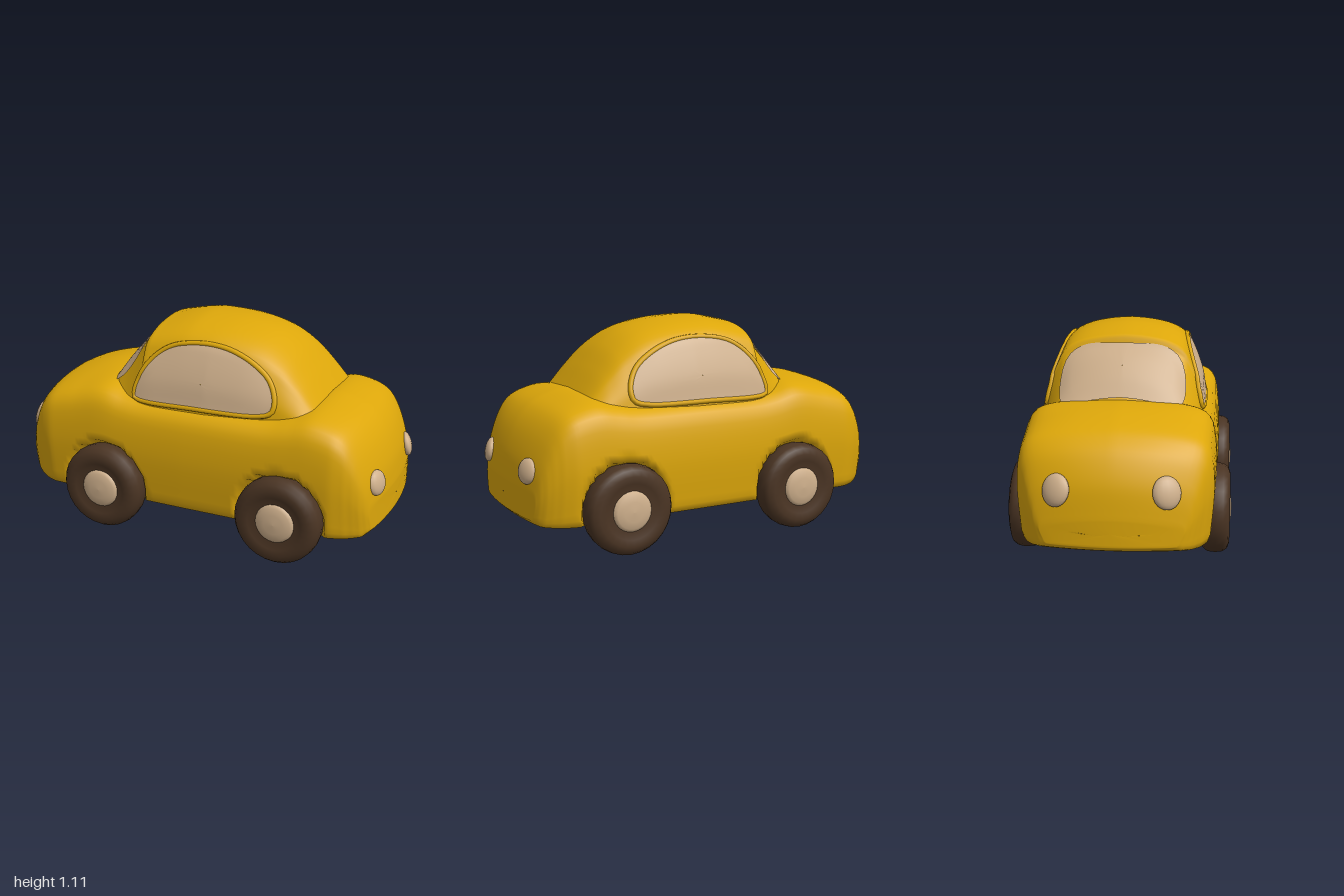
import * as THREE from 'three';

const paint = new THREE.MeshStandardMaterial({ color: 0xdda70a });
paint.name = 'yellow paint';
const glass = new THREE.MeshStandardMaterial({ color: 0xcfb08c, side: THREE.DoubleSide });
glass.name = 'pale glass';
const rubber = new THREE.MeshStandardMaterial({ color: 0x4a3423 });
rubber.name = 'brown rubber';

const WHEELS = [-0.44, 0.54];
const WHEEL_R = 0.226;
const { smoothstep, clamp } = THREE.MathUtils;

const spline = (pts, n) =>
  new THREE.SplineCurve(pts.map(p => new THREE.Vector2(...p))).getSpacedPoints(n).map(p => [p.x, p.y]);

// Piecewise interpolation of column c against column k
function lerp(table, v, k = 0, c = 1) {
  const up = table[table.length - 1][k] > table[0][k];
  const t = up ? table : [...table].reverse();
  if (v <= t[0][k]) return t[0][c];
  for (let i = 1; i < t.length; i++) {
    if (v <= t[i][k]) {
      const a = t[i - 1], b = t[i];
      return a[c] + (b[c] - a[c]) * (v - a[k]) / (b[k] - a[k] || 1);
    }
  }
  return t[t.length - 1][c];
}

// Smooth skin over a list of equally sized closed rings
function loft(rings) {
  const n = rings[0].length, index = [];
  for (let i = 0; i < rings.length - 1; i++) {
    for (let j = 0; j < n; j++) {
      const a = i * n + j, b = i * n + (j + 1) % n;
      index.push(a, a + n, b, b, a + n, b + n);
    }
  }
  const geo = new THREE.BufferGeometry();
  geo.setAttribute('position', new THREE.Float32BufferAttribute(rings.flat(2), 3));
  geo.setIndex(index);
  geo.computeVertexNormals();
  return geo;
}

// Half section, bottom to top, mirrored to the other side
const mirrorSection = half => [
  ...half, ...[...half].reverse().filter(p => Math.abs(p[0]) > 1e-4).map(([g, f]) => [-g, f]),
];

// Lower body tables: top line, underside, half width, half section (width, height)
const bodyTop = spline([[-1, 0.34], [-0.98, 0.49], [-0.93, 0.61], [-0.87, 0.677], [-0.79, 0.725], [-0.62, 0.77],
  [-0.46, 0.778], [-0.34, 0.745], [-0.2, 0.728], [0.1, 0.728], [0.42, 0.728], [0.55, 0.745], [0.66, 0.763],
  [0.77, 0.738], [0.86, 0.69], [0.93, 0.6], [0.98, 0.47], [1, 0.34]], 110);
const bodyBottom = [[-1, 0.205], [-0.985, 0.185], [-0.95, 0.17], [-0.9, 0.162], [0.4, 0.162], [0.9, 0.152], [0.97, 0.157], [1, 0.185]];
const bodyWidth = [[-1, 0.345], [-0.99, 0.38], [-0.97, 0.41], [-0.94, 0.432], [-0.88, 0.455], [-0.78, 0.47],
  [-0.5, 0.478], [0, 0.484], [0.5, 0.484], [0.8, 0.476], [0.89, 0.463], [0.94, 0.445], [0.97, 0.425],
  [0.99, 0.395], [1, 0.36]];
const bodyHalf = spline([[0, 0], [0.5, 0], [0.88, 0], [0.955, 0.03], [0.975, 0.15], [0.995, 0.35], [1, 0.52],
  [0.98, 0.72], [0.93, 0.86], [0.8, 0.938], [0.5, 0.98], [0, 1]], 44);

function bodyGeometry() {
  const section = mirrorSection(bodyHalf);
  const ring = (x, top, k = 1) => {
    const lo = lerp(bodyBottom, x), w = lerp(bodyWidth, x), mid = (lo + top) / 2;
    const end = smoothstep(Math.abs(x), 0.75, 1);
    const dome = 0.035 * smoothstep(-x, 0.45, 0.65);
    return section.map(([g, f]) => {
      let z = g * w * k * (1 - 0.08 * end * (1 - f));
      const y = mid + (lo + f * (top - lo) - mid) * k - dome * g * g * f * f;
      // Nose and tail bow backward toward the sides
      const bow = (x < 0 ? 0.065 : 0.05) * end * (z / 0.42) ** 2;
      // Wheel wells press the sides inward
      for (const wx of WHEELS) {
        const s = 1 - smoothstep(Math.hypot(x - wx, y - WHEEL_R), 0.208, 0.238);
        z += (Math.sign(z) * Math.min(Math.abs(z), 0.42) - z) * s;
      }
      return [x - Math.sign(x) * bow, y, z];
    });
  };
  const first = bodyTop[0], last = bodyTop[bodyTop.length - 1];
  const caps = [0.01, 0.3, 0.6, 0.85];
  return loft([
    ...caps.map(k => ring(...first, k)),
    ...bodyTop.map(p => ring(...p)),
    ...caps.reverse().map(k => ring(...last, k)),
  ]);
}

// Cabin tables: roof line, width factor, half section (half width, height)
const BASE = 0.6;
const roofLine = spline([[-0.57, 0.67], [-0.49, 0.765], [-0.42, 0.87], [-0.35, 0.95], [-0.275, 1.02], [-0.264, 1.06],
  [-0.22, 1.073], [-0.1, 1.098], [0, 1.105], [0.18, 1.092], [0.34, 1.05], [0.46, 0.975], [0.55, 0.88],
  [0.62, 0.79], [0.7, 0.68]], 90);
const cabinWidth = [[-0.57, 0.95], [-0.35, 0.98], [-0.2, 1], [0.1, 1], [0.3, 0.965], [0.45, 0.925], [0.6, 0.905], [0.7, 0.89]];
const cabinHalf = spline([[0.425, 0], [0.404, 0.23], [0.384, 0.46], [0.34, 0.7], [0.296, 0.85], [0.21, 0.94],
  [0.1, 0.985], [0, 1]], 28);

// The windscreen wraps down toward its sides
const droop = (x, z) => 0.045 * Math.sin(Math.PI * clamp((x + 0.54) / 0.26, 0, 1)) * (z / 0.3) ** 2;

const cabinGeometry = () => {
  const section = mirrorSection(cabinHalf);
  return loft(roofLine.map(([x, top]) => section.map(([g, f]) => {
    const z = g * lerp(cabinWidth, x);
    return [x, BASE + f * (top - BASE) - droop(x, z), z];
  })));
};

// Points on the cabin skin, seen from the side or from above
function cabinSide(x, y, lift) {
  const f = (y - BASE) / (lerp(roofLine, x) - BASE);
  return lerp(cabinHalf, f, 1, 0) * lerp(cabinWidth, x) + lift;
}
function cabinTop(x, z, lift) {
  const f = lerp(cabinHalf, Math.abs(z) / lerp(cabinWidth, x), 0, 1);
  return BASE + f * (lerp(roofLine, x) - BASE) - droop(x, z) + lift;
}

const closedOutline = (pts, n) => new THREE.CatmullRomCurve3(
  pts.map(([a, b]) => new THREE.Vector3(a, b, 0)), true, 'centripetal').getSpacedPoints(n).slice(0, n);

// Thin pane: growing copies of an outline laid onto a curved surface
function pane(outline, place) {
  const c = outline.reduce((s, p) => s.add(p), new THREE.Vector3()).divideScalar(outline.length);
  const scales = [0.005, 0.1, 0.2, 0.3, 0.4, 0.5, 0.6, 0.7, 0.8, 0.9, 1];
  return loft(scales.map(k => outline.map(o => {
    const p = c.clone().lerp(o, k);
    return place(p.x, p.y).toArray();
  })));
}

const sideOutline = closedOutline([[-0.295, 0.715], [-0.275, 0.82], [-0.21, 0.92], [-0.11, 0.99], [0.05, 1.018],
  [0.2, 1.003], [0.33, 0.95], [0.42, 0.875], [0.458, 0.78], [0.445, 0.73], [0.38, 0.71], [0.05, 0.705], [-0.25, 0.703]], 56);
const screenOutline = closedOutline([[-0.478, 0], [-0.478, 0.2], [-0.46, 0.29], [-0.4, 0.315], [-0.31, 0.305], [-0.278, 0.26],
  [-0.276, 0], [-0.278, -0.26], [-0.31, -0.305], [-0.4, -0.315], [-0.46, -0.29], [-0.478, -0.2]], 56);

export function createModel() {
  const car = new THREE.Group();
  car.name = 'car';
  const add = (name, geo, mat, parent = car) => {
    const m = new THREE.Mesh(geo, mat);
    m.name = name;
    parent.add(m);
    return m;
  };

  add('lowerBody', bodyGeometry(), paint);
  add('cabin', cabinGeometry(), paint);
  add('windscreen', pane(screenOutline, (x, z) => new THREE.Vector3(x - 0.004, cabinTop(x, z, 0.009), z)), glass);

  // Side windows with raised frames
  for (const [side, s] of [['left', 1], ['right', -1]]) {
    const place = lift => (x, y) => new THREE.Vector3(x, y, s * cabinSide(x, y, lift));
    add(side + 'Window', pane(sideOutline, place(0.008)), glass);
    const frame = new THREE.CatmullRomCurve3(sideOutline.map(p => place(0)(p.x, p.y)), true);
    add(side + 'WindowFrame', new THREE.TubeGeometry(frame, 80, 0.014, 8, true), paint);
  }

  // Lamps: flattened balls facing outward
  const lampGeo = new THREE.SphereGeometry(1, 16, 12);
  for (const s of [1, -1]) {
    const front = add('headlamp', lampGeo, glass);
    front.position.set(-0.96, 0.463, s * 0.255);
    front.scale.set(0.034, 0.078, 0.07);
    front.rotation.set(0, s * 0.4, -0.28);
    const rear = add('tailLamp', lampGeo, glass);
    rear.position.set(0.97, 0.42, s * 0.27);
    rear.scale.set(0.028, 0.064, 0.064);
    rear.rotation.set(0, -s * 0.3, 0.22);
  }

  // Wheels: lathed tyre and domed hub, axle turned to z
  const v = pts => pts.map(p => new THREE.Vector2(...p));
  const tyreGeo = new THREE.LatheGeometry(v([[0.001, -0.065], [0.17, -0.07], [0.205, -0.062], [0.222, -0.04],
    [WHEEL_R, 0], [0.221, 0.035], [0.205, 0.058], [0.175, 0.068], [0.14, 0.066], [0.11, 0.052], [0.001, 0.05]]), 28);
  const hubGeo = new THREE.LatheGeometry(v([[0.104, 0.04], [0.1, 0.056], [0.085, 0.067], [0.05, 0.074], [0, 0.077]]), 24);
  for (const x of WHEELS) {
    for (const s of [1, -1]) {
      const wheel = new THREE.Group();
      wheel.name = 'wheel';
      add('tyre', tyreGeo, rubber, wheel);
      add('hub', hubGeo, glass, wheel);
      wheel.rotation.x = s * Math.PI / 2;
      wheel.position.set(x, WHEEL_R, s * 0.478);
      car.add(wheel);
    }
  }
  return car;
}
